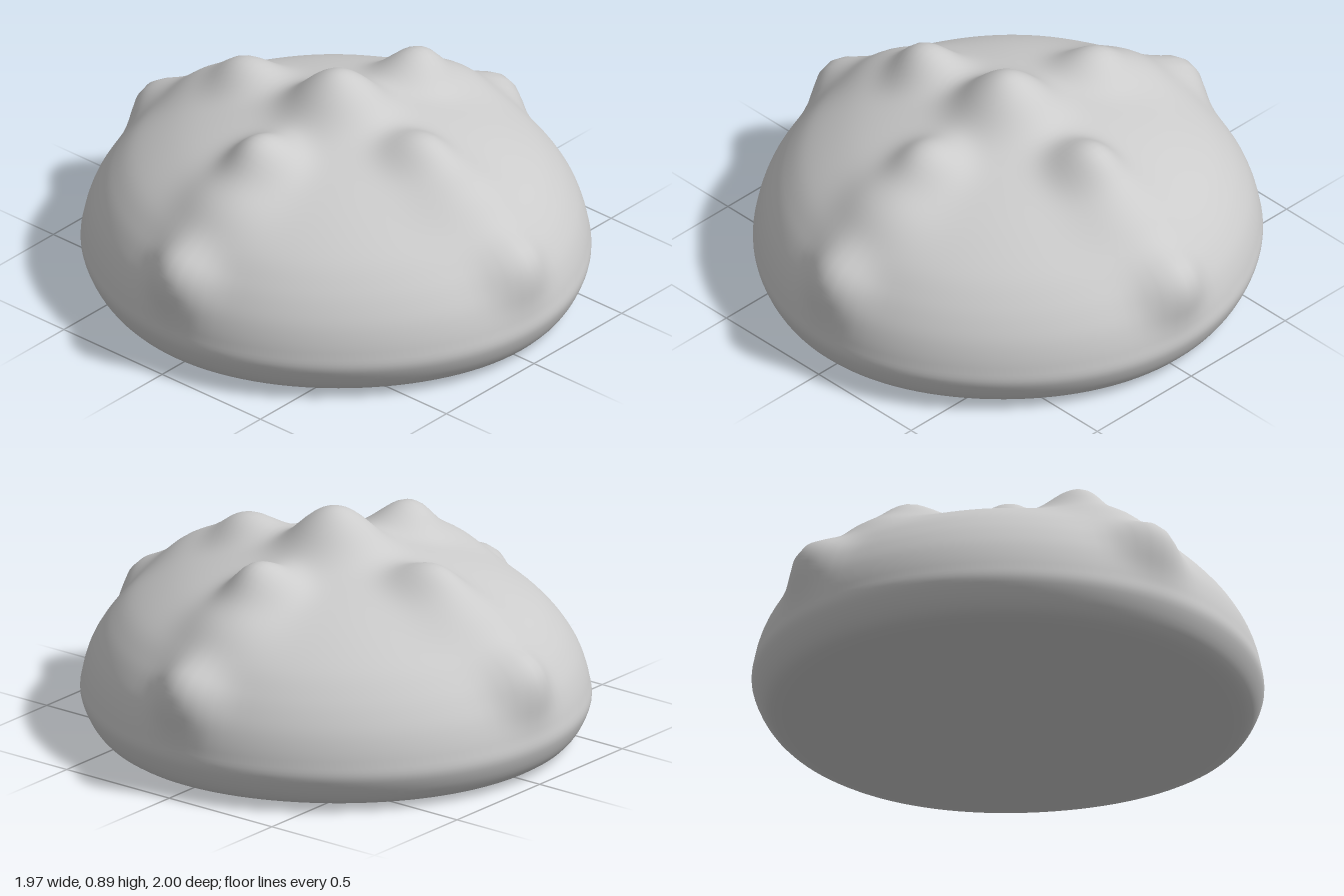
import * as THREE from 'three';
import { mergeVertices } from 'three/addons/utils/BufferGeometryUtils.js';

// Side profile of the dome, from underside centre to crown: [radius, height]
const underside = [[0, 0.022], [0.4, 0.018], [0.65, 0.012]];
const wall = [[0.78, 0.012], [0.91, 0.04], [0.972, 0.14], [0.967, 0.22], [0.942, 0.305], [0.905, 0.375],
  [0.855, 0.442], [0.78, 0.515], [0.67, 0.585], [0.55, 0.642], [0.4, 0.692], [0.25, 0.727], [0.12, 0.745], [0, 0.75]];

// Swellings of the skin: centre, height above the dome and spread
const swellings = [];
const swell = (angle, r, y, height, spread) => swellings.push({
  at: new THREE.Vector3(Math.sin(angle) * r, y, Math.cos(angle) * r), height, spread,
});
swell(0, 0, 0.75, 0.153, 0.165); // crown knob
const arms = [ // front, left, back, right
  { inner: 0.41, innerHeight: 0.085, outerHeight: 0.075 },
  { inner: 0.43, innerHeight: 0.115, outerHeight: 0.088 },
  { inner: 0.45, innerHeight: 0.085, outerHeight: 0.088 },
  { inner: 0.42, innerHeight: 0.112, outerHeight: 0.088 },
];
arms.forEach((arm, i) => {
  const a = i * Math.PI / 2;
  swell(a, arm.inner, 0.69, arm.innerHeight, 0.125); // inner knob
  swell(a, 0.64, 0.6, 0.055, 0.18); // ridge between the knobs
  swell(a, 0.89, 0.395, arm.outerHeight, 0.125); // outer knob
});

// Slightly squared-in footprint, longer from front to back
function footprint(x, z) {
  const a = Math.atan2(x, z);
  const c = Math.cos(a);
  return 1 + 0.02 * c * c - (0.018 + 0.008 * c) * Math.sin(2 * a) ** 2;
}

function createDome() {
  const toV2 = ([r, y]) => new THREE.Vector2(r, y);
  const profile = [...underside.map(toV2), ...new THREE.SplineCurve(wall.map(toV2)).getPoints(72)];

  // Weld the lathe seam so the surface shades smoothly
  let geo = new THREE.LatheGeometry(profile, 120);
  geo.deleteAttribute('uv');
  geo.deleteAttribute('normal');
  geo = mergeVertices(geo, 1e-4);

  const pos = geo.attributes.position;
  for (let i = 0; i < pos.count; i++) {
    const f = footprint(pos.getX(i), pos.getZ(i));
    pos.setX(i, pos.getX(i) * f);
    pos.setZ(i, pos.getZ(i) * f);
  }
  geo.computeVertexNormals();

  // Push the skin outwards around each swelling
  const p = new THREE.Vector3();
  const n = new THREE.Vector3();
  for (let i = 0; i < pos.count; i++) {
    p.fromBufferAttribute(pos, i);
    n.fromBufferAttribute(geo.attributes.normal, i);
    let push = 0;
    for (const s of swellings) push += s.height * Math.exp(-((p.distanceTo(s.at) / s.spread) ** 2.2));
    p.addScaledVector(n, push);
    pos.setXYZ(i, p.x, p.y, p.z);
  }
  geo.computeVertexNormals();
  return geo;
}

export function createModel() {
  const group = new THREE.Group();
  group.name = 'knobbedDome';
  const dome = new THREE.Mesh(createDome(), new THREE.MeshStandardMaterial({ color: 0xcccccc }));
  dome.name = 'domeBody';
  group.add(dome);
  return group;
}
